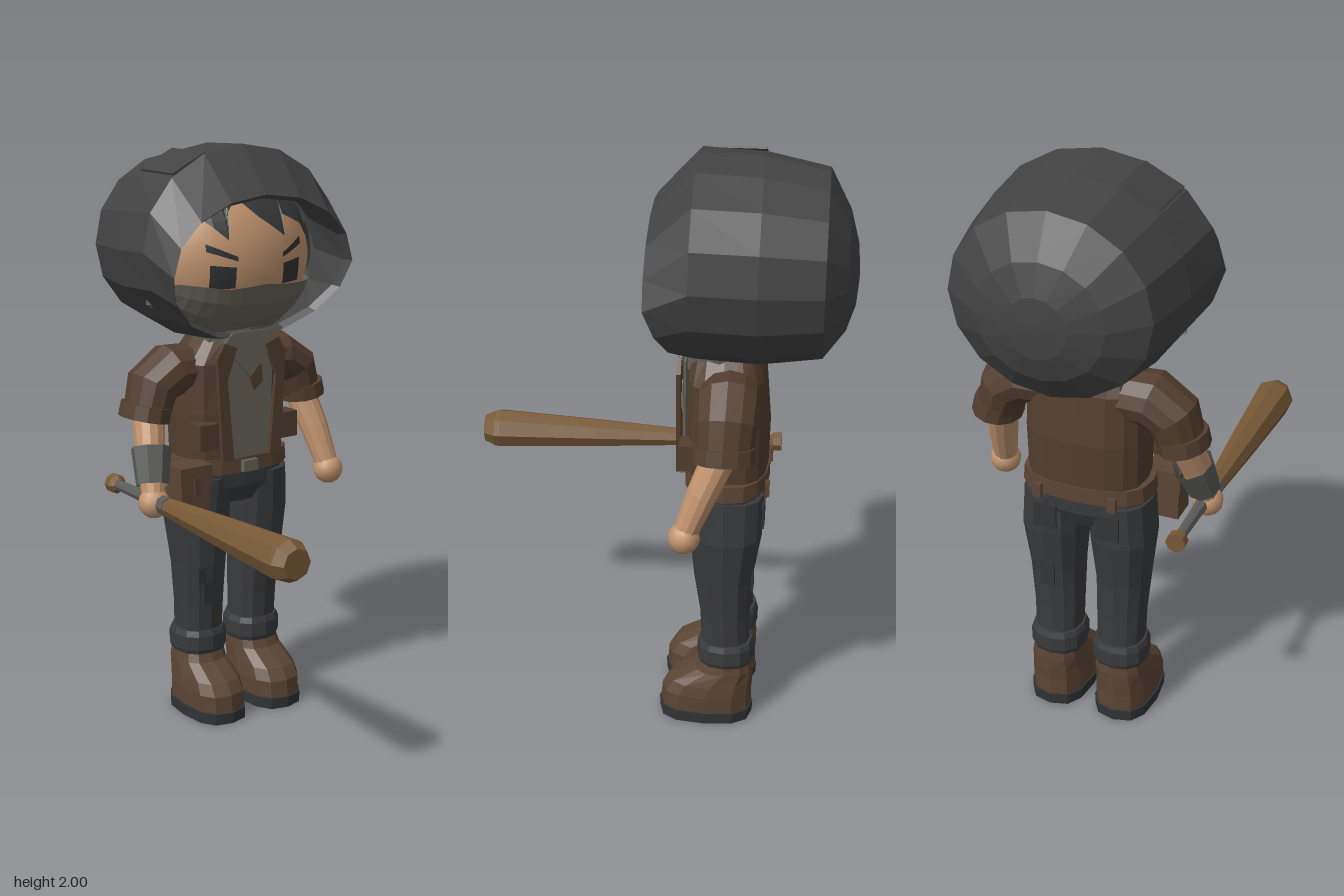
import * as THREE from 'three';

const mat = (name, color, side = THREE.FrontSide) => {
  const m = new THREE.MeshStandardMaterial({ color, side });
  m.name = name;
  return m;
};

export function createModel() {
  const root = new THREE.Group();
  root.name = 'hoodedFigure';
  const M = {
    hood: mat('charcoal hood', 0x434343, THREE.DoubleSide),
    pants: mat('dark trousers', 0x3a3b3d),
    patch: mat('dark patch', 0x323335),
    hair: mat('hair', 0x393a3b, THREE.DoubleSide),
    skin: mat('skin', 0xc2946f),
    jacket: mat('brown jacket', 0x523e2f),
    boot: mat('boot leather', 0x5b4535),
    cloth: mat('grey olive cloth', 0x686459, THREE.DoubleSide),
    wood: mat('wood', 0x775836),
    grip: mat('grey wrap', 0x5c5d5a, THREE.DoubleSide),
  };
  const add = (name, geo, material, x = 0, y = 0, z = 0) => {
    const m = new THREE.Mesh(geo, material);
    m.name = name;
    m.position.set(x, y, z);
    root.add(m);
    return m;
  };
  const box = (name, material, w, h, d, x, y, z) =>
    add(name, new THREE.BoxGeometry(w, h, d), material, x, y, z);

  const flatGeo = (pos) => {
    const g = new THREE.BufferGeometry();
    g.setAttribute('position', new THREE.Float32BufferAttribute(pos, 3));
    g.computeVertexNormals();
    return g;
  };

  // Faceted skin over rings [x, y, z, radiusU, radiusV]; p < 1 squares the section
  function loft(rings, { n = 12, p = 1, dir = null, caps = true } = {}) {
    const centres = rings.map((r) => new THREE.Vector3(r[0], r[1], r[2]));
    const pow = (t) => Math.sign(t) * Math.pow(Math.abs(t), p);
    const loops = rings.map((r, k) => {
      const d = dir ? dir.clone() : centres[Math.min(k + 1, rings.length - 1)].clone()
        .sub(centres[Math.max(k - 1, 0)]).normalize();
      const v = Math.abs(d.z) > 0.95 ? new THREE.Vector3(0, 1, 0) : new THREE.Vector3(0, 0, -1);
      v.addScaledVector(d, -v.dot(d)).normalize();
      const u = v.clone().cross(d);
      return Array.from({ length: n }, (_, i) => {
        const a = (i / n) * Math.PI * 2;
        return centres[k].clone().addScaledVector(u, pow(Math.cos(a)) * r[3])
          .addScaledVector(v, pow(Math.sin(a)) * (r[4] ?? r[3]));
      });
    });
    const pos = [];
    const tri = (...vs) => vs.forEach((q) => pos.push(q.x, q.y, q.z));
    const last = loops.length - 1;
    for (let i = 0; i < n; i++) {
      const j = (i + 1) % n;
      for (let k = 0; k < last; k++) {
        const A = loops[k], B = loops[k + 1];
        tri(A[i], A[j], B[j]);
        tri(A[i], B[j], B[i]);
      }
      if (caps) {
        tri(centres[0], loops[0][j], loops[0][i]);
        tri(centres[last], loops[last][i], loops[last][j]);
      }
    }
    return flatGeo(pos);
  }
  const UP = new THREE.Vector3(0, 1, 0), FRONT = new THREE.Vector3(0, 0, 1);

  // Hood shell from the back to the rim, then the lining going back in
  const hood = loft([
    [0, 1.62, -0.655, 0.02, 0.02], [0, 1.62, -0.648, 0.1, 0.1], [0, 1.63, -0.62, 0.21, 0.19],
    [0, 1.65, -0.55, 0.33, 0.3], [0, 1.658, -0.35, 0.37, 0.333], [0, 1.67, -0.14, 0.39, 0.33],
    [0, 1.6, 0, 0.36, 0.245], [0, 1.6, -0.03, 0.345, 0.23], [0, 1.62, -0.2, 0.345, 0.28],
  ], { n: 16, dir: FRONT, caps: false });
  const hp = hood.attributes.position;
  for (let i = 0; i < hp.count; i++) { // chin side of the rim leans back
    if (hp.getZ(i) > -0.05) hp.setZ(i, hp.getZ(i) - Math.max(0, 1.58 - hp.getY(i)) * 0.45);
  }
  hood.computeVertexNormals();
  add('hood', hood, M.hood);
  add('hoodBackCap', new THREE.CircleGeometry(0.02, 16), M.hood, 0, 1.62, -0.655);
  box('hoodPatch', M.hood, 0.14, 0.008, 0.2, -0.205, 1.945, -0.245).rotation.z = 0.47;

  // Head
  const C = [0, 1.62, -0.27], R = [0.325, 0.29, 0.24];
  add('head', new THREE.SphereGeometry(1, 24, 16), M.skin, ...C).scale.set(...R);
  const lookup = (line, x) => {
    let k = 0;
    while (k < line.length - 2 && x > line[k + 1][0]) k++;
    const [a, b] = [line[k], line[k + 1]];
    return a[1] + (b[1] - a[1]) * ((x - a[0]) / (b[0] - a[0]));
  };
  // Sheet on the face between a top and a bottom outline
  function facePatch(name, material, top, bottom, off, rows = 5) {
    const x0 = top[0][0], x1 = top[top.length - 1][0];
    const xs = [...top, ...bottom].map((q) => q[0]);
    for (let i = 1; i < 16; i++) xs.push(x0 + ((x1 - x0) * i) / 16);
    const cols = [...new Set(xs)].sort((a, b) => a - b);
    const point = (x, t) => {
      const y = THREE.MathUtils.lerp(lookup(bottom, x), lookup(top, x), t);
      const s = 1 - (x / R[0]) ** 2 - ((y - C[1]) / R[1]) ** 2;
      return [x, y, C[2] + R[2] * Math.sqrt(Math.max(0, s)) + off];
    };
    const pos = [];
    for (let i = 0; i < cols.length - 1; i++) {
      for (let j = 0; j < rows; j++) {
        const a = point(cols[i], j / rows), b = point(cols[i + 1], j / rows);
        const c = point(cols[i + 1], (j + 1) / rows), d = point(cols[i], (j + 1) / rows);
        pos.push(...a, ...b, ...c, ...a, ...c, ...d);
      }
    }
    return add(name, flatGeo(pos), material);
  }
  facePatch('fringe', M.hair, [[-0.32, 1.7], [-0.2, 1.83], [0, 1.87], [0.2, 1.83], [0.32, 1.7]],
    [[-0.32, 1.5], [-0.28, 1.58], [-0.25, 1.72], [-0.2, 1.78], [-0.12, 1.7], [-0.1, 1.79],
      [-0.06, 1.83], [0, 1.77], [0.1, 1.7], [0.11, 1.77], [0.2, 1.73], [0.24, 1.67],
      [0.25, 1.74], [0.28, 1.58], [0.32, 1.5]], 0.015);
  facePatch('mask', M.cloth, [[-0.32, 1.53], [-0.27, 1.56], [-0.12, 1.54], [0, 1.55], [0.12, 1.54], [0.32, 1.53]],
    [[-0.32, 1.48], [-0.2, 1.4], [0, 1.345], [0.2, 1.4], [0.32, 1.48]], 0.03, 3);
  for (const s of [-1, 1]) {
    const line = (a, b) => [[s * a[0], a[1]], [s * b[0], b[1]]].sort((q, r) => q[0] - r[0]);
    facePatch('eye', M.patch, line([0.095, 1.61], [0.18, 1.62]), line([0.095, 1.54], [0.18, 1.54]), 0.005);
    facePatch('eyebrow', M.patch, line([0.09, 1.645], [0.19, 1.69]), line([0.09, 1.63], [0.19, 1.665]), 0.006);
  }

  // Torso, shirt and open jacket
  add('jacket', loft([[0, 0.93, -0.25, 0.2, 0.137], [0, 1.1, -0.25, 0.205, 0.14],
    [0, 1.27, -0.245, 0.2, 0.13], [0, 1.36, -0.24, 0.13, 0.11]], { n: 16, p: 0.7, dir: UP }), M.jacket);
  const plate = (name, material, pts, z, depth = 0.008) => add(name, new THREE.ExtrudeGeometry(
    new THREE.Shape(pts.map((q) => new THREE.Vector2(...q))), { depth, bevelEnabled: false }), material, 0, 0, z);
  plate('shirt', M.cloth, [[-0.09, 0.94], [0.09, 0.94], [0.1, 1.33], [-0.1, 1.33]], -0.113);
  plate('stain', M.jacket, [[0.02, 1.17], [0.055, 1.2], [0.05, 1.26], [-0.01, 1.25]], -0.104, 0.004);
  plate('scarfTip', M.cloth, [[0, 1.22], [0.11, 1.34], [0.07, 1.38], [-0.07, 1.38], [-0.11, 1.34]], -0.102);
  add('scarf', loft([[0, 1.29, -0.23, 0.13, 0.13], [0, 1.39, -0.22, 0.15, 0.12]], { dir: UP }), M.cloth);
  for (const s of [-1, 1]) {
    const pts = [[0.075, 0.94], [0.12, 0.94], [0.14, 1.3], [0.11, 1.35], [0.06, 1.33], [0.1, 1.22]];
    plate('lapel', M.jacket, pts.map(([x, y]) => [s * x, y]), -0.1, 0.015);
    box('jacketPocket', M.jacket, 0.075, 0.09, 0.07, s * 0.165, 1.03, -0.135);
  }

  // Belt
  add('belt', loft([[0, 0.885, -0.25, 0.227, 0.143], [0, 0.94, -0.25, 0.222, 0.143]],
    { n: 16, p: 0.8, dir: UP }), M.boot);
  box('buckle', M.cloth, 0.06, 0.04, 0.02, 0, 0.91, -0.1);
  add('hips', loft([[0, 0.77, -0.25, 0.1, 0.1], [0, 0.83, -0.25, 0.21, 0.128], [0, 0.93, -0.25, 0.215, 0.135]],
    { n: 16, p: 0.8, dir: UP }), M.pants);

  for (const s of [-1, 1]) {
    // Arms
    add('sleeve', loft([[s * 0.13, 1.245, -0.26, 0.085, 0.1], [s * 0.22, 1.245, -0.26, 0.092, 0.105],
      [s * 0.29, 1.2, -0.26, 0.088, 0.1], [s * 0.32, 1.1, -0.255, 0.075, 0.09]]), M.jacket);
    add('sleeveCuff', loft([[s * 0.318, 1.14, -0.255, 0.082, 0.1], [s * 0.328, 1.09, -0.255, 0.084, 0.102]]), M.jacket);
    add('forearm', loft([[s * 0.315, 1.12, -0.25, 0.056], [s * 0.345, 0.98, -0.19, 0.05],
      [s * 0.365, 0.85, -0.14, 0.04]]), M.skin);
    add('hand', new THREE.SphereGeometry(0.053, 12, 8), M.skin, s * 0.368, 0.83, -0.135);

    // Legs
    add('trouserLeg', loft([[s * 0.115, 0.22, -0.265, 0.078, 0.083], [s * 0.115, 0.4, -0.258, 0.083, 0.085],
      [s * 0.12, 0.55, -0.25, 0.09, 0.1], [s * 0.122, 0.72, -0.255, 0.108, 0.122],
      [s * 0.115, 0.87, -0.25, 0.105, 0.13]], { p: 0.85, dir: UP }), M.pants);
    add('trouserCuff', loft([[s * 0.115, 0.22, -0.264, 0.09, 0.094], [s * 0.115, 0.235, -0.264, 0.096, 0.099],
      [s * 0.115, 0.285, -0.264, 0.096, 0.099], [s * 0.115, 0.305, -0.264, 0.088, 0.092]], { p: 0.85, dir: UP }), M.pants);
    add('boot', loft([[s * 0.12, 0.035, -0.198, 0.098, 0.16], [s * 0.12, 0.1, -0.2, 0.1, 0.157],
      [s * 0.12, 0.14, -0.215, 0.095, 0.145], [s * 0.118, 0.19, -0.26, 0.088, 0.1],
      [s * 0.116, 0.225, -0.266, 0.083, 0.09]], { p: 0.75, dir: UP }), M.boot);
    add('sole', loft([[s * 0.12, 0, -0.198, 0.103, 0.163], [s * 0.12, 0.04, -0.198, 0.104, 0.165]],
      { p: 0.75, dir: UP }), M.patch);
    box('backPocket', M.patch, 0.08, 0.09, 0.008, s * 0.11, 0.8, -0.38);
    box('beltLoop', M.boot, 0.03, 0.05, 0.015, s * 0.13, 0.9, -0.39);
  }
  box('kneePatch', M.patch, 0.04, 0.08, 0.008, -0.135, 0.45, -0.165);
  box('thighPatch', M.patch, 0.03, 0.06, 0.008, -0.165, 0.52, -0.158);
  box('calfPatch', M.patch, 0.05, 0.09, 0.008, 0.12, 0.55, -0.35);

  // Belt pouch
  box('pouch', M.boot, 0.11, 0.15, 0.1, -0.23, 0.84, -0.14);
  box('pouchFlap', M.boot, 0.125, 0.075, 0.115, -0.23, 0.905, -0.14);
  box('pouchStrap', M.jacket, 0.022, 0.06, 0.008, -0.23, 0.875, -0.08);

  // Wrist guard
  add('wristGuard', loft([[-0.335, 1.0, -0.2, 0.07], [-0.362, 0.885, -0.152, 0.056]], { n: 8, caps: false }), M.grip);

  // Bat
  const B = (z, r) => [-0.36, 0.832, z, r];
  add('bat', loft([B(-0.2, 0.02), B(-0.06, 0.032), B(0.25, 0.052), B(0.6, 0.071), B(0.62, 0.069), B(0.66, 0.05)],
    { n: 8, dir: FRONT }), M.wood);
  add('batGrip', loft([B(-0.39, 0.018), B(-0.2, 0.022), B(-0.05, 0.036)], { n: 8, dir: FRONT }), M.grip);
  add('batKnob', loft([B(-0.42, 0.034), B(-0.39, 0.034), B(-0.375, 0.02)], { n: 8, dir: FRONT }), M.wood);
  return root;
}
